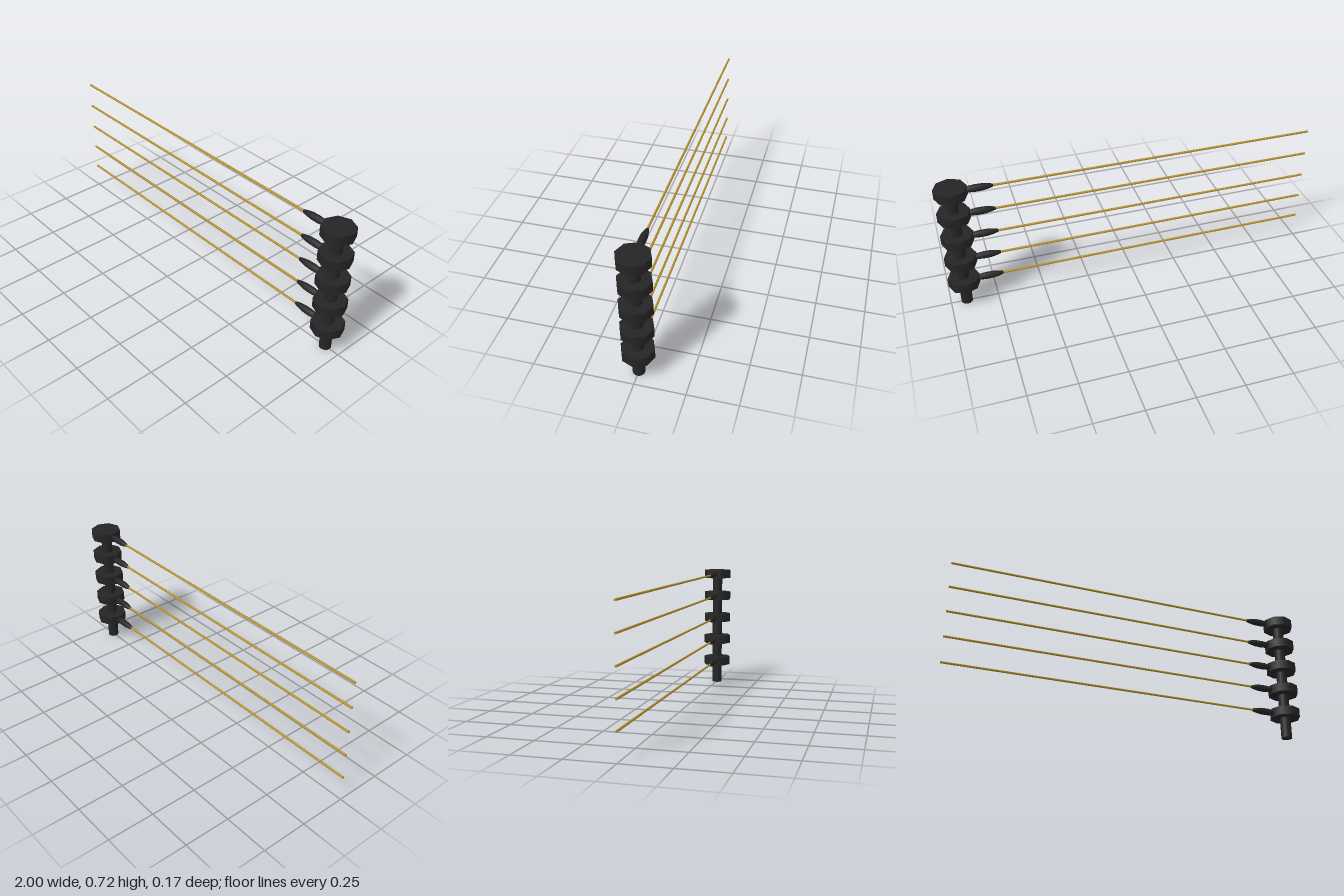
import * as THREE from 'three';

const POST_X = 0.917;
const LEVELS = [0.14, 0.279, 0.418, 0.557, 0.695];

export function createModel() {
  const model = new THREE.Group();
  const black = new THREE.MeshStandardMaterial({ color: 0x252525 });
  const gold = new THREE.MeshStandardMaterial({ color: 0xb8922e });

  function add(parent, name, geometry, material, x, y) {
    const mesh = new THREE.Mesh(geometry, material);
    mesh.name = name;
    mesh.position.set(x, y, 0);
    parent.add(mesh);
  }

  // Upright post
  const postHeight = 0.7;
  add(model, 'post', new THREE.CylinderGeometry(0.03, 0.03, postHeight, 16), black, POST_X, postHeight / 2);

  // Eight-sided collar
  const collar = new THREE.CylinderGeometry(0.083, 0.083, 0.05, 8);

  // Tapered sleeve, profile runs from the collar out to the wire (-x)
  const profile = [[0, 0], [0.012, 0], [0.016, 0.03], [0.019, 0.06], [0.018, 0.1], [0.014, 0.125], [0.008, 0.15], [0, 0.15]];
  const sleeve = new THREE.LatheGeometry(profile.map(([r, h]) => new THREE.Vector2(r, h)), 12);
  sleeve.rotateZ(Math.PI / 2);

  // Long thin wire
  const wireStart = -1, wireEnd = 0.74;
  const wire = new THREE.CylinderGeometry(0.006, 0.006, wireEnd - wireStart, 8);
  wire.rotateZ(Math.PI / 2);

  // Repeat collar, sleeve and wire at every level
  LEVELS.forEach((y) => {
    const arm = new THREE.Group();
    arm.name = 'arm';
    arm.position.y = y;
    add(arm, 'collar', collar, black, POST_X, 0);
    add(arm, 'sleeve', sleeve, black, 0.86, 0);
    add(arm, 'wire', wire, gold, (wireStart + wireEnd) / 2, 0);
    model.add(arm);
  });

  return model;
}
